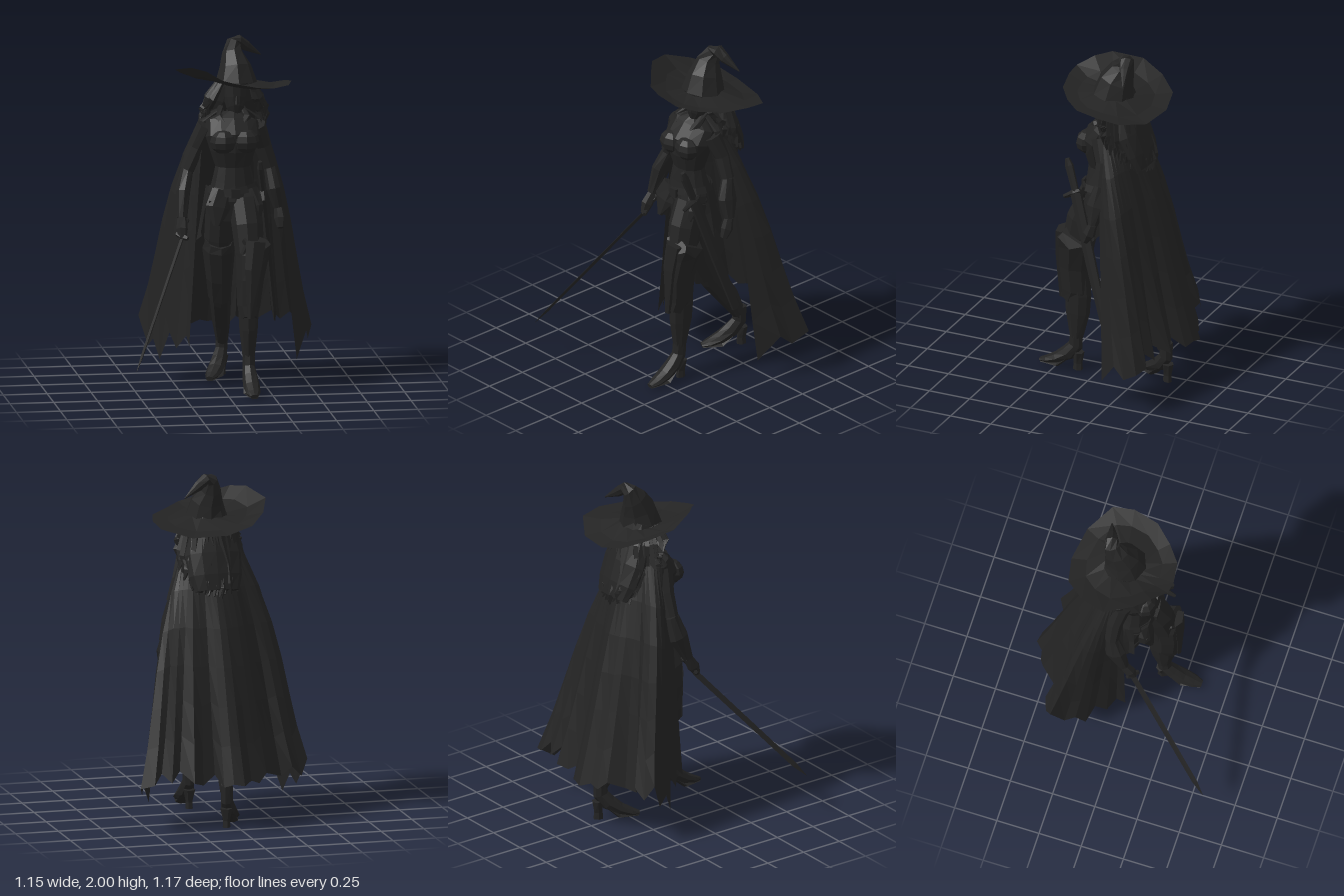
import * as THREE from 'three';

const charcoal = new THREE.MeshStandardMaterial({ color: 0x232323, flatShading: true, side: THREE.DoubleSide });
charcoal.name = 'charcoal';
const V = (x, y, z) => new THREE.Vector3(x, y, z);

function mesh(parent, name, geometry) {
  const m = new THREE.Mesh(geometry, charcoal);
  m.name = name;
  parent.add(m);
  return m;
}

// Faceted surface through rows of points
function sheet(rows) {
  const pos = [];
  const put = (...p) => p.forEach(v => pos.push(v.x, v.y, v.z));
  for (let j = 0; j < rows.length - 1; j++) {
    for (let i = 0; i < rows[j].length - 1; i++) {
      const a = rows[j][i], b = rows[j][i + 1], c = rows[j + 1][i], d = rows[j + 1][i + 1];
      put(a, c, b, b, c, d);
    }
  }
  const g = new THREE.BufferGeometry();
  g.setAttribute('position', new THREE.Float32BufferAttribute(pos, 3));
  g.computeVertexNormals();
  return g;
}

// Closed faceted tube; each station is [x, y, z, radius across, radius deep]
function limb(st, sides = 8, ref = V(0, 0, 1)) {
  const c = st.map(s => V(s[0], s[1], s[2]));
  const rows = c.map((p, j) => {
    const t = c[Math.min(j + 1, c.length - 1)].clone().sub(c[Math.max(j - 1, 0)]).normalize();
    const u = t.clone().cross(ref).normalize(), v = u.clone().cross(t);
    const a = st[j][3], b = st[j][4] ?? a;
    return Array.from({ length: sides + 1 }, (_, i) => {
      const w = (i % sides) / sides * Math.PI * 2;
      return p.clone().addScaledVector(u, a * Math.cos(w)).addScaledVector(v, b * Math.sin(w));
    });
  });
  const cap = p => Array.from({ length: sides + 1 }, () => p);
  return sheet([cap(c[0]), ...rows, cap(c[c.length - 1])]);
}

function buildHat(g) {
  const outer = [[-.255, 1.82, -.11], [-.2, 1.77, -.255], [-.105, 1.72, -.365], [.045, 1.68, -.395], [.245, 1.67, -.365],
    [.4, 1.71, -.265], [.415, 1.73, -.14], [.375, 1.735, .01], [.275, 1.74, .115], [.175, 1.76, .19],
    [.047, 1.79, .21], [-.03, 1.81, .2], [-.11, 1.85, .125], [-.185, 1.86, .05]].map(p => V(...p));
  outer.push(outer[0]);
  const inner = outer.map(p => {
    const d = V(p.x - .09, 0, p.z + .09).normalize();
    return V(.09 + d.x * .11, 1.745, -.09 + d.z * .11);
  });
  const middle = outer.map((p, i) => p.clone().lerp(inner[i], .45).add(V(0, -.015, 0)));
  mesh(g, 'hatBrim', sheet([inner, middle, outer]));
  mesh(g, 'hatCrown', limb([[.09, 1.735, -.09, .122, .125], [.088, 1.83, -.108, .09, .103], [.078, 1.9, -.14, .06, .075],
    [.088, 1.955, -.168, .042, .046], [.115, 1.965, -.178, .032, .04], [.16, 1.93, -.19, .03], [.25, 1.87, -.22, .003]], 8));
}

function buildHead(g) {
  mesh(g, 'head', limb([[.08, 1.565, -.025, .022, .025], [.08, 1.6, -.05, .05, .065], [.08, 1.66, -.07, .064, .083],
    [.08, 1.73, -.08, .068, .088], [.08, 1.79, -.09, .05, .06]], 10));
  mesh(g, 'nose', limb([[.08, 1.635, .012, .012], [.08, 1.68, .006, .005]], 4));
  mesh(g, 'neck', limb([[.06, 1.5, -.07, .045], [.08, 1.62, -.07, .04]], 8));
  // Hair: a core covered by wavy locks, long behind and short beside the face
  mesh(g, 'hairCore', limb([[.08, 1.76, -.11, .1, .085], [.08, 1.66, -.14, .135, .09], [.08, 1.53, -.2, .165, .08],
    [.08, 1.42, -.255, .155, .06], [.08, 1.34, -.29, .13, .04]], 12));
  let seed = 7;
  const rnd = () => (seed = (seed * 16807) % 2147483647) / 2147483647;
  const count = 46;
  for (let i = 0; i < count; i++) {
    const w = -.5 + (i / (count - 1)) * (Math.PI + 1);
    const cx = Math.cos(w), sz = Math.sin(w), back = Math.max(0, sz), j = () => (rnd() - .5) * .035;
    const end = 1.53 - .22 * Math.sqrt(back) + j();
    mesh(g, 'hairLock', limb([
      [.08 + cx * .09, 1.75, -.08 - sz * .1, .014],
      [.08 + cx * .135 + j(), 1.66, -.09 - sz * .135 + j(), .022, .016],
      [.08 + cx * .17 + j(), 1.66 - (1.66 - end) * .5, -.09 - back * .18 + j(), .024, .016],
      [.08 + cx * .17 + j(), end + .06, -.09 - back * .215 + j(), .02],
      [.08 + cx * .18 + j(), end, -.09 - back * .235, .006]], 4));
  }
}

function buildBody(g) {
  mesh(g, 'torso', limb([[.06, .98, -.03, .12, .1], [.06, 1.1, -.02, .145, .115], [.06, 1.2, -.01, .118, .09],
    [.06, 1.28, -.01, .1, .08], [.06, 1.37, -.01, .13, .105], [.06, 1.45, -.01, .155, .11],
    [.06, 1.53, -.05, .15, .085], [.065, 1.58, -.06, .05, .05]], 12));
  for (const s of [-1, 1]) {
    const bust = mesh(g, 'bust', new THREE.SphereGeometry(.066, 8, 6));
    bust.position.set(.06 + s * .062, 1.43, .06);
    bust.scale.set(1.2, 1.05, 1);
    mesh(g, 'collar', limb([[.06 + s * .02, 1.47, .07, .02, .01], [.06 + s * .08, 1.56, 0, .025, .02], [.06 + s * .06, 1.6, -.08, .02]], 5));
    mesh(g, 'beltPouch', new THREE.BoxGeometry(.06, .08, .05)).position.set(.06 + s * .12, 1.06, .07);
    mesh(g, 'hipPlate', limb([[.06 + s * .07, 1.15, .06, .06, .03], [.06 + s * .1, 1.06, .09, .07, .025], [.06 + s * .11, .96, .11, .02, .015]], 6));
  }
  // Two belts slung across each other
  for (const [y, tilt] of [[1.15, .14], [1.13, -.16]]) {
    const belt = mesh(g, 'belt', new THREE.CylinderGeometry(.138, .148, .04, 12, 1, true));
    belt.scale.z = .8;
    belt.position.set(.06, y, -.012);
    belt.rotation.z = tilt;
  }
  mesh(g, 'buckle', new THREE.BoxGeometry(.05, .05, .02)).position.set(.06, 1.14, .105);
}

function buildArm(g, shoulder, elbow, cuff, wrist, hand) {
  mesh(g, 'upperArm', limb([[...shoulder, .055, .06], [(shoulder[0] + elbow[0]) / 2, (shoulder[1] + elbow[1]) / 2, elbow[2], .05], [...elbow, .042]], 8));
  mesh(g, 'gauntlet', limb([[...elbow, .036], [...cuff, .043, .062], [...wrist, .03]], 8));
  mesh(g, 'hand', limb([[...wrist, .026], [...hand, .033, .036], [hand[0], hand[1] - .05, hand[2] + .025, .02]], 6));
}

function buildFoot(g, x, z, turn) {
  const foot = new THREE.Group();
  foot.name = 'foot';
  foot.position.set(x, 0, z);
  foot.rotation.y = turn;
  mesh(foot, 'shoe', limb([[0, .24, 0, .034, .038], [0, .15, .005, .035, .044], [0, .095, .05, .044, .046],
    [0, .055, .115, .048, .034], [0, .03, .18, .04, .022], [0, .02, .225, .022, .01]], 8));
  mesh(foot, 'heel', limb([[0, .11, -.015, .035, .03], [0, .04, -.008, .02, .026], [0, 0, -.008, .022, .03]], 6));
  mesh(foot, 'sole', limb([[0, .065, .05, .035, .01], [0, .014, .11, .045, .012], [0, .01, .22, .022, .008]], 6, V(0, 1, 0)));
  g.add(foot);
}

function buildLegs(g) {
  mesh(g, 'frontLeg', limb([[.12, 1.08, .02, .09, .1], [.13, .95, .08, .09, .1], [.135, .8, .11, .08, .095], [.13, .62, .125, .062, .08],
    [.13, .47, .115, .058, .078], [.13, .36, .118, .052, .072], [.13, .2, .125, .034, .038]], 9));
  // Over-knee boot top with a flared, forward-rising rim
  mesh(g, 'frontBootCuff', limb([[.17, .875, .185, .08, .04], [.155, .81, .115, .098, .115], [.137, .65, .135, .078, .095],
    [.13, .5, .13, .066, .09], [.13, .43, .16, .045, .065]], 8));
  mesh(g, 'frontKneePlate', limb([[.165, .88, .2, .06, .03], [.145, .72, .215, .05, .025], [.13, .44, .215, .02, .015]], 5));
  mesh(g, 'backLeg', limb([[0, 1.08, -.03, .09, .1], [-.01, .86, -.07, .085, .095], [0, .62, -.13, .065, .078], [.02, .47, -.22, .06, .075],
    [.04, .32, -.325, .05, .064], [.055, .2, -.39, .034, .04]], 9));
  mesh(g, 'backBootCuff', limb([[-.01, .85, -.05, .08, .085], [-.01, .8, -.08, .094, .11], [0, .62, -.12, .076, .09], [.01, .5, -.18, .066, .085]], 8));
  buildFoot(g, .13, .125, 0);
  buildFoot(g, .055, -.4, -.46);
}

function buildCape(g) {
  const hem = [[-.19, .25, 0], [-.2, .3, -.05], [-.25, .22, -.09], [-.28, .3, -.15], [-.33, .14, -.19], [-.36, .25, -.24], [-.38, .2, -.3],
    [-.425, .36, -.37], [-.38, .27, -.41], [-.32, .33, -.43], [-.27, .27, -.38], [-.215, .29, -.42], [-.15, .32, -.5], [-.1, .27, -.53],
    [-.05, .29, -.54], [0, .27, -.585], [.06, .28, -.57], [.11, .26, -.545], [.145, .32, -.47], [.22, .27, -.5], [.28, .29, -.535],
    [.345, .35, -.45], [.4, .29, -.49], [.45, .34, -.45], [.5, .28, -.485], [.575, .26, -.455],
    [.54, .2, -.36], [.52, .26, -.29], [.45, .12, -.18]].map(p => V(...p));
  const n = hem.length - 1, rows = [];
  const top = hem.map((_, i) => {
    const w = -.5 + i / n * (Math.PI + .85);
    return V(.055 - Math.cos(w) * .178, 1.53 + Math.max(0, Math.sin(w)) * .03, -.09 - Math.sin(w) * .1);
  });
  // Pleats deepen toward the hem, so upper rows follow an averaged hem
  const even = hem.map((p, i) => p.clone().add(hem[Math.max(i - 1, 0)]).add(hem[Math.min(i + 1, n)]).divideScalar(3));
  rows.push(top.map(p => V(.065 + (p.x - .055) * .4, 1.6, -.08 + (p.z + .09) * .6)));
  for (let j = 0; j <= 6; j++) {
    const t = j / 6;
    rows.push(top.map((p, i) => {
      const side = i / n, bulge = Math.sin(Math.PI * t) * (1 - t);
      const overArm = .3 * Math.exp(-(((side - .19) / .1) ** 2));
      const k = t + bulge * (.05 + .22 * side + overArm);
      const h = even[i].clone().lerp(hem[i], t);
      return V(p.x + (h.x - p.x) * k, p.y + (h.y - p.y) * t, p.z + (h.z - p.z) * (t + bulge * .13));
    }));
  }
  mesh(g, 'cape', sheet(rows));

  // Short pleated coat skirt over the hips, open at the front
  const skirt = [];
  for (let j = 0; j <= 2; j++) {
    const t = j / 2, row = [];
    for (let i = 0; i <= 18; i++) {
      const w = -.4 + i / 18 * (Math.PI + .8), pleat = 1 + (i % 2 ? -.08 : .05) * t;
      row.push(V(.05 - Math.cos(w) * (.14 + .045 * t) * pleat, 1.17 - t * (.26 + (i % 3) * .03), -.03 - Math.sin(w) * (.11 + .05 * t) * pleat));
    }
    skirt.push(row);
  }
  mesh(g, 'coatSkirt', sheet(skirt));
}

function buildWeapons(g) {
  // Drawn sword
  mesh(g, 'swordBlade', limb([[-.235, .89, .05, .01, .018], [-.54, .3, .525, .008, .016], [-.577, .23, .583, .001]], 4));
  mesh(g, 'swordGuard', limb([[-.268, .905, .035, .012], [-.24, .895, .055, .022], [-.21, .885, .085, .012]], 5));
  mesh(g, 'swordGrip', limb([[-.24, .9, .05, .012], [-.21, .96, .005, .012], [-.205, .975, -.005, .018], [-.2, .985, -.015, .01]], 6));
  // Sheathed sword at the hip
  mesh(g, 'scabbard', limb([[.215, 1.14, .09, .02, .036], [.27, .75, -.03, .019, .034], [.315, .42, -.135, .015, .028], [.32, .35, -.155, .004]], 6));
  mesh(g, 'hipSwordGrip', limb([[.19, 1.33, .155, .012, .014], [.192, 1.29, .142, .018, .026], [.215, 1.14, .09, .014, .022]], 6));
  mesh(g, 'hipSwordGuard', limb([[.21, 1.1, .165, .01, .012], [.215, 1.14, .1, .02], [.22, 1.16, .06, .01, .012]], 5, V(0, 1, 0)));
}

export function createModel() {
  const model = new THREE.Group();
  model.name = 'cloakedSwordfighter';
  const part = (name, build) => {
    const g = new THREE.Group();
    g.name = name;
    build(g);
    model.add(g);
  };
  part('hat', buildHat);
  part('headAndHair', buildHead);
  part('body', buildBody);
  part('rightArm', g => buildArm(g, [-.08, 1.5, -.06], [-.19, 1.25, -.08], [-.22, 1.13, -.05], [-.232, .99, .005], [-.237, .93, .04]));
  part('leftArm', g => buildArm(g, [.2, 1.5, -.06], [.285, 1.25, -.1], [.305, 1.13, -.08], [.33, 1.02, -.07], [.335, .96, -.05]));
  part('legs', buildLegs);
  part('clothing', buildCape);
  part('weapons', buildWeapons);
  return model;
}
